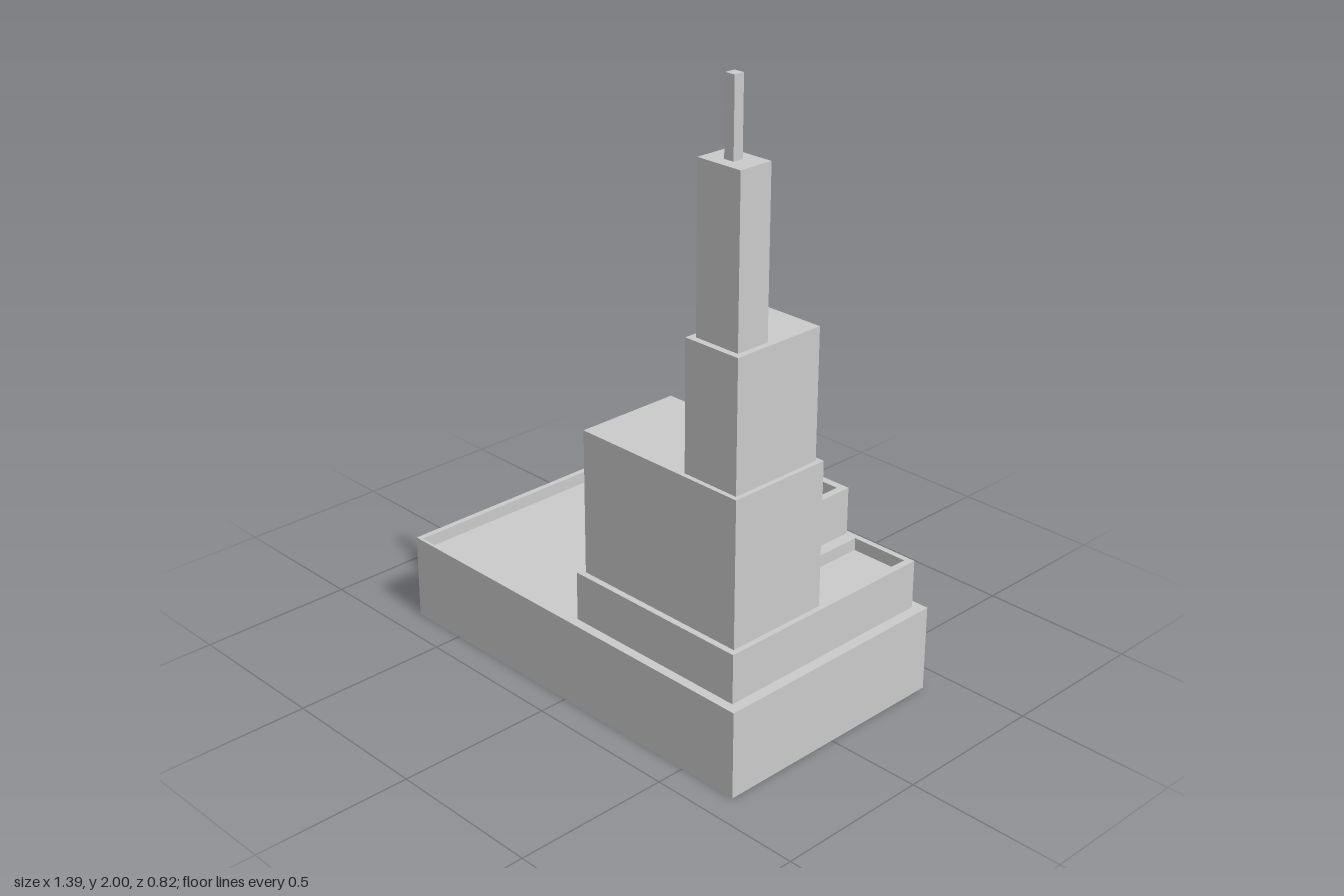
import * as THREE from 'three';

const material = new THREE.MeshStandardMaterial({ color: 0xcccccc, flatShading: true });

function add(group, name, geometry) {
  const mesh = new THREE.Mesh(geometry, material);
  mesh.name = name;
  group.add(mesh);
}

// Solid block between two corners
function block(group, name, [x0, x1], [y0, y1], [z0, z1]) {
  const geometry = new THREE.BoxGeometry(x1 - x0, y1 - y0, z1 - z0);
  geometry.translate((x0 + x1) / 2, (y0 + y1) / 2, (z0 + z1) / 2);
  add(group, name, geometry);
}

// Rectangle in plan; shape y is -z so that extrusion can be stood upright
function plan(Type, [x0, x1], [z0, z1]) {
  return new Type([[x0, -z1], [x1, -z1], [x1, -z0], [x0, -z0]].map(p => new THREE.Vector2(...p)));
}

// Block with a shallow rectangular roof well behind a parapet
function walledBlock(group, name, x, y, z, wellX, wellZ, depth) {
  const part = new THREE.Group();
  part.name = name;
  const shape = plan(THREE.Shape, x, z);
  shape.holes.push(plan(THREE.Path, wellX, wellZ));
  const walls = new THREE.ExtrudeGeometry(shape, { depth: y[1] - y[0], bevelEnabled: false });
  walls.rotateX(-Math.PI / 2).translate(0, y[0], 0);
  add(part, name + 'Walls', walls);
  block(part, name + 'Roof', wellX, [y[0], y[1] - depth], wellZ);
  group.add(part);
}

export function createModel() {
  const model = new THREE.Group();
  model.name = 'steppedTower';

  // Podium and low wings with sunken roofs
  walledBlock(model, 'podium', [-0.697, 0.697], [0, 0.275], [-0.409, 0.409], [-0.678, -0.022], [-0.4, 0.4], 0.04);
  walledBlock(model, 'terrace', [0.03, 0.663], [0.275, 0.43], [-0.379, 0.379], [0.45, 0.64], [-0.36, -0.03], 0.04);
  walledBlock(model, 'rearWing', [0.044, 0.411], [0.43, 0.582], [-0.366, -0.019], [0.07, 0.387], [-0.341, -0.043], 0.04);

  // Tower setbacks, stacked toward the front corner
  block(model, 'lowerTower', [0.047, 0.646], [0.43, 0.884], [0.017, 0.359]);
  block(model, 'middleTower', [0.438, 0.631], [0.884, 1.281], [0.033, 0.344]);
  block(model, 'upperTower', [0.458, 0.611], [1.281, 1.775], [0.213, 0.324]);
  block(model, 'spire', [0.517, 0.55], [1.775, 2], [0.254, 0.287]);
  return model;
}
